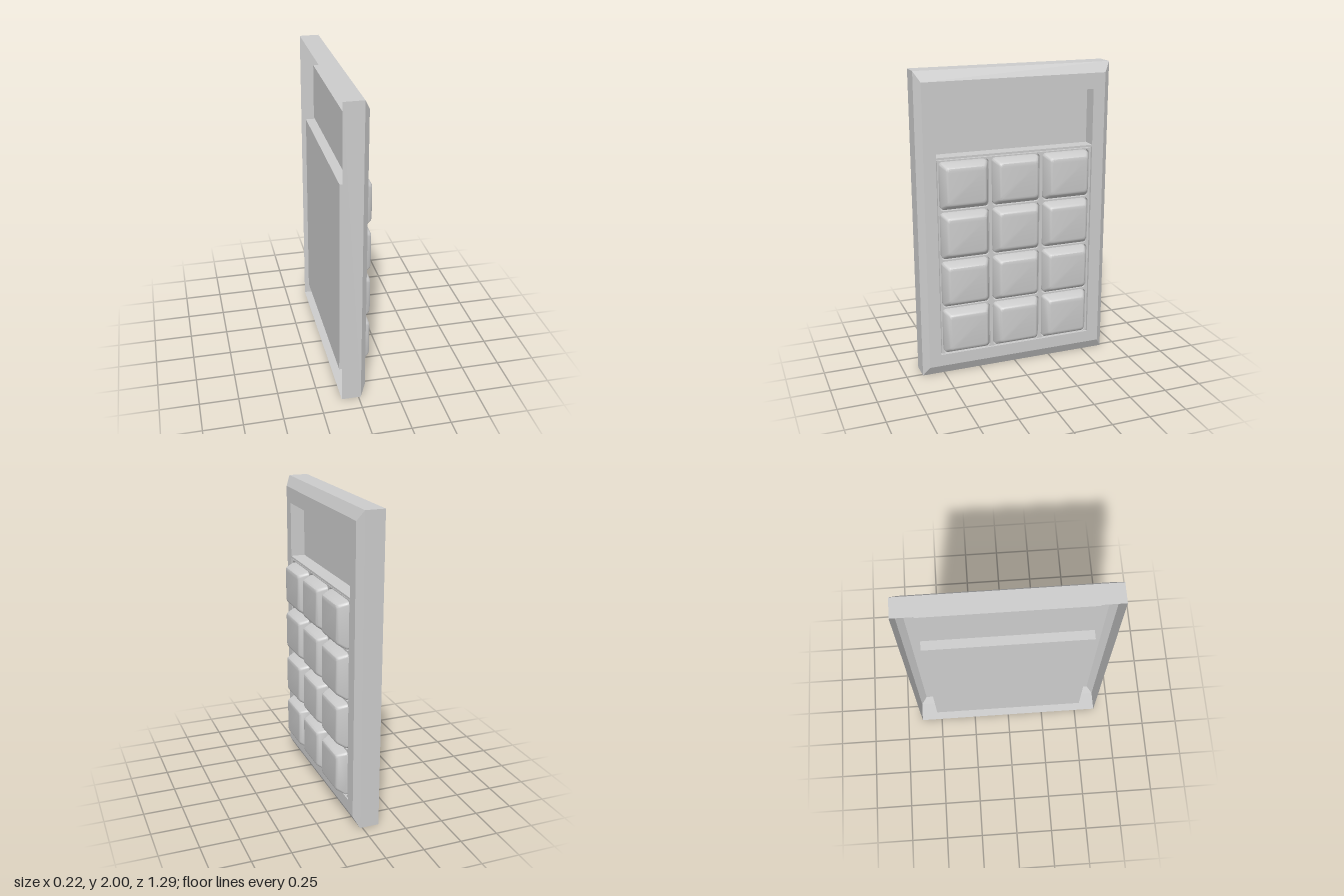
import * as THREE from 'three';
import { toCreasedNormals } from 'three/addons/utils/BufferGeometryUtils.js';

const material = new THREE.MeshStandardMaterial({ color: 0xcccccc, side: THREE.DoubleSide });

// Counter-clockwise corner points of a rectangle [left, bottom, right, top], rounded by r
function outline([l, b, r, t], radius = 0, steps = 4) {
  if (radius === 0) return [[r, t], [l, t], [l, b], [r, b]].map(p => new THREE.Vector2(...p));
  const points = [];
  const centres = [[r - radius, t - radius], [l + radius, t - radius], [l + radius, b + radius], [r - radius, b + radius]];
  centres.forEach(([cx, cy], i) => {
    for (let s = 0; s <= steps; s++) {
      const a = (i + s / steps) * Math.PI / 2;
      points.push(new THREE.Vector2(cx + radius * Math.cos(a), cy + radius * Math.sin(a)));
    }
  });
  return points;
}

// Skin through rectangles given from back to front as { z, rect, r }, with optional end caps
function loft(sections, { capBack = false, capFront = false, crease = 0.3 } = {}) {
  const rings = sections.map(s => outline(s.rect, s.r));
  const n = rings[0].length;
  const positions = [], index = [];
  rings.forEach((ring, k) => ring.forEach(p => positions.push(p.x, p.y, sections[k].z)));
  for (let k = 0; k < rings.length - 1; k++) {
    for (let i = 0; i < n; i++) {
      const a = k * n + i, b = k * n + (i + 1) % n;
      index.push(a, b, b + n, a, b + n, a + n);
    }
  }
  const last = (rings.length - 1) * n;
  for (let i = 1; i < n - 1; i++) {
    if (capBack) index.push(0, i + 1, i);
    if (capFront) index.push(last, last + i, last + i + 1);
  }
  const geometry = new THREE.BufferGeometry();
  geometry.setAttribute('position', new THREE.Float32BufferAttribute(positions, 3));
  geometry.setIndex(index);
  return toCreasedNormals(geometry, crease);
}

function panelShape(rect, holes, radius = 0) {
  const shape = new THREE.Shape(outline(rect));
  holes.forEach(h => shape.holes.push(new THREE.Path(outline(h, radius).reverse())));
  return shape;
}

const grow = ([l, b, r, t], d) => [l - d, b - d, r + d, t + d];

export function createModel() {
  const model = new THREE.Group();
  model.name = 'keypad';

  // Built facing +z, then turned to face +x
  const body = new THREE.Group();
  body.name = 'body';
  body.rotation.y = Math.PI / 2;
  model.add(body);
  const add = (name, geometry, parent = body) => {
    const mesh = new THREE.Mesh(geometry, material);
    mesh.name = name;
    parent.add(mesh);
    return mesh;
  };

  const outer = [-0.645, 0, 0.645, 2];
  const face = [-0.605, 0.065, 0.605, 1.935];
  const screen = [-0.525, 1.47, 0.525, 1.833];
  const pad = [-0.525, 0.145, 0.525, 1.457];
  const front = 0.05;

  // Case: open-backed walls with a bevelled front edge
  add('caseWalls', loft([
    { z: -0.11, rect: outer },
    { z: 0.015, rect: outer },
    { z: front, rect: face },
  ]));
  add('frontPanel', new THREE.ShapeGeometry(panelShape(face, [screen, pad]))).position.z = front;

  // Sunken display window and the deeper tray behind the keys
  add('displayRecess', loft([
    { z: -0.045, rect: screen },
    { z: front, rect: screen },
  ], { capBack: true }));
  add('keyTray', loft([
    { z: -0.1, rect: pad },
    { z: front, rect: pad },
  ], { capBack: true }));

  // Key positions: three columns, four rows
  const keyRects = [];
  for (let row = 0; row < 4; row++) {
    for (let col = -1; col <= 1; col++) {
      const x = col * 0.345 - 0.002, y = 0.308 + row * 0.3257;
      keyRects.push([x - 0.154, y - 0.149, x + 0.154, y + 0.149]);
    }
  }

  // Lattice with a rounded slot for each key
  const lattice = new THREE.ExtrudeGeometry(
    panelShape(grow(pad, -0.006), keyRects.map(r => grow(r, 0.009)), 0.025),
    { depth: 0.035, bevelEnabled: false },
  );
  add('keyLattice', lattice).position.z = 0.01;
  const floor = add('slotFloor', new THREE.PlaneGeometry(1.05, 1.312));
  floor.position.set(0, 0.801, 0.01);

  // Keys: tapered caps with softened rims and a deeper slope along the bottom
  const keys = new THREE.Group();
  keys.name = 'keys';
  body.add(keys);
  const profile = [[0.01, 0], [0.05, 0], [0.094, 0.72], [0.103, 0.9], [0.108, 1.1], [0.11, 1.4]];
  keyRects.forEach(([l, b, r, t]) => {
    add('key', loft(profile.map(([z, k]) => ({
      z, r: 0.02,
      rect: [l + 0.027 * k, b + 0.036 * k, r - 0.027 * k, t - 0.022 * k],
    })), { capFront: true, crease: 0.55 }), keys);
  });

  return model;
}
